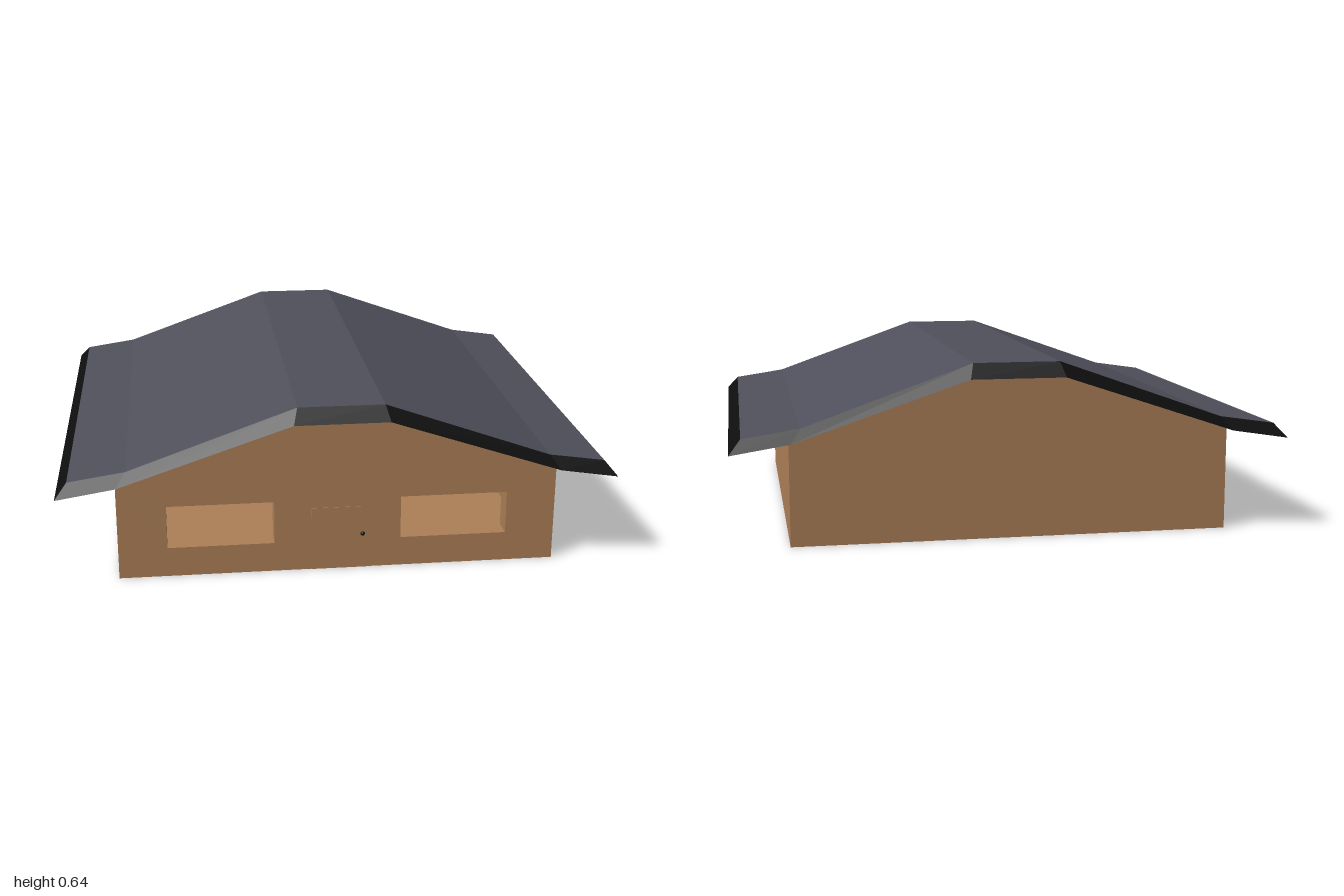
import * as THREE from 'three';

const V = (x, y, z) => new THREE.Vector3(x, y, z);

// Flat-shaded geometry from a list of counter-clockwise quads
function quads(list) {
  const pts = [];
  for (const [a, b, c, d] of list) pts.push(a, b, c, a, c, d);
  const g = new THREE.BufferGeometry().setFromPoints(pts);
  g.computeVertexNormals();
  return g;
}

export function createModel() {
  const group = new THREE.Group();
  const wallMat = new THREE.MeshStandardMaterial({ color: 0xae8058, side: THREE.DoubleSide });
  wallMat.name = 'wall brown';
  const roofMat = new THREE.MeshStandardMaterial({ color: 0x50505c });
  roofMat.name = 'roof grey';
  const trimMat = new THREE.MeshStandardMaterial({ color: 0x0e0e0e });
  trimMat.name = 'trim black';
  const add = (name, geo, mat, x = 0, y = 0, z = 0) => {
    const m = new THREE.Mesh(geo, mat);
    m.name = name;
    m.position.set(x, y, z);
    group.add(m);
    return m;
  };

  const OUT = 0.795, IN = 0.72, FLOOR = 0.05;
  const windows = [[-0.62, -0.235], [0.225, 0.615]];
  const SILL = 0.11, HEAD = 0.27;

  // Thin wall skin: two gables and two side walls
  function wallSkin(name, h, base, eave) {
    for (const s of [1, -1]) {
      const shape = new THREE.Shape([[-h, base], [h, base], [h, eave], [0.17, 0.59], [-0.17, 0.59], [-h, eave]]
        .map(([x, y]) => new THREE.Vector2(x, y)));
      if (s > 0) for (const [a, b] of windows) {
        shape.holes.push(new THREE.Path([[a, SILL], [a, HEAD], [b, HEAD], [b, SILL]]
          .map(([x, y]) => new THREE.Vector2(x, y))));
      }
      const gable = add(name + (s > 0 ? 'FrontGable' : 'BackGable'), new THREE.ShapeGeometry(shape), wallMat, 0, 0, s * h);
      if (s < 0) gable.rotation.y = Math.PI;
      const side = add(name + (s > 0 ? 'LeftWall' : 'RightWall'),
        new THREE.PlaneGeometry(2 * h, eave - base), wallMat, s * h, (eave + base) / 2, 0);
      side.rotation.y = s * Math.PI / 2;
    }
  }
  wallSkin('outer', OUT, 0, 0.378);
  wallSkin('inner', IN, FLOOR, 0.4);

  // Floor slab
  add('floor', new THREE.BoxGeometry(2 * IN, FLOOR, 2 * IN), wallMat, 0, FLOOR / 2, 0);

  // Window reveals joining the two skins
  for (const [a, b] of windows) {
    const c = [[a, SILL], [b, SILL], [b, HEAD], [a, HEAD]];
    add('windowReveal', quads(c.map(([x, y], i) => {
      const [u, v] = c[(i + 1) % 4];
      return [V(x, y, OUT), V(u, v, OUT), V(u, v, IN), V(x, y, IN)];
    })), wallMat);
  }

  // Flush door with a small knob
  add('door', new THREE.BoxGeometry(0.2, 0.24, 0.072), wallMat, 0, 0.12, 0.761);
  add('doorKnob', new THREE.SphereGeometry(0.008, 10, 8), trimMat, 0.085, 0.135, 0.803);

  // Roof: a wider lower profile and an inset upper one
  const mirror = half => [...half, ...half.map(([x, y]) => [-x, y]).reverse()];
  const low = mirror([[-1, 0.345], [-0.79, 0.378], [-0.17, 0.585]]);
  const top = mirror([[-0.958, 0.395], [-0.755, 0.425], [-0.155, 0.638]]);
  const L = (i, s) => V(...low[i], s * 0.875);
  const T = (i, s) => V(...top[i], s * 0.835);
  const n = low.length - 1;
  const covering = [], trim = [];
  for (let i = 0; i < n; i++) {
    covering.push([T(i, 1), T(i + 1, 1), T(i + 1, -1), T(i, -1)]);
    trim.push([L(i, -1), L(i + 1, -1), L(i + 1, 1), L(i, 1)]); // soffit
    trim.push([L(i, 1), L(i + 1, 1), T(i + 1, 1), T(i, 1)]); // front fascia
    trim.push([L(i + 1, -1), L(i, -1), T(i, -1), T(i + 1, -1)]); // back fascia
  }
  trim.push([L(n, 1), L(n, -1), T(n, -1), T(n, 1)]); // left eave
  trim.push([L(0, -1), L(0, 1), T(0, 1), T(0, -1)]); // right eave
  add('roofCovering', quads(covering), roofMat);
  add('roofTrim', quads(trim), trimMat);

  return group;
}
